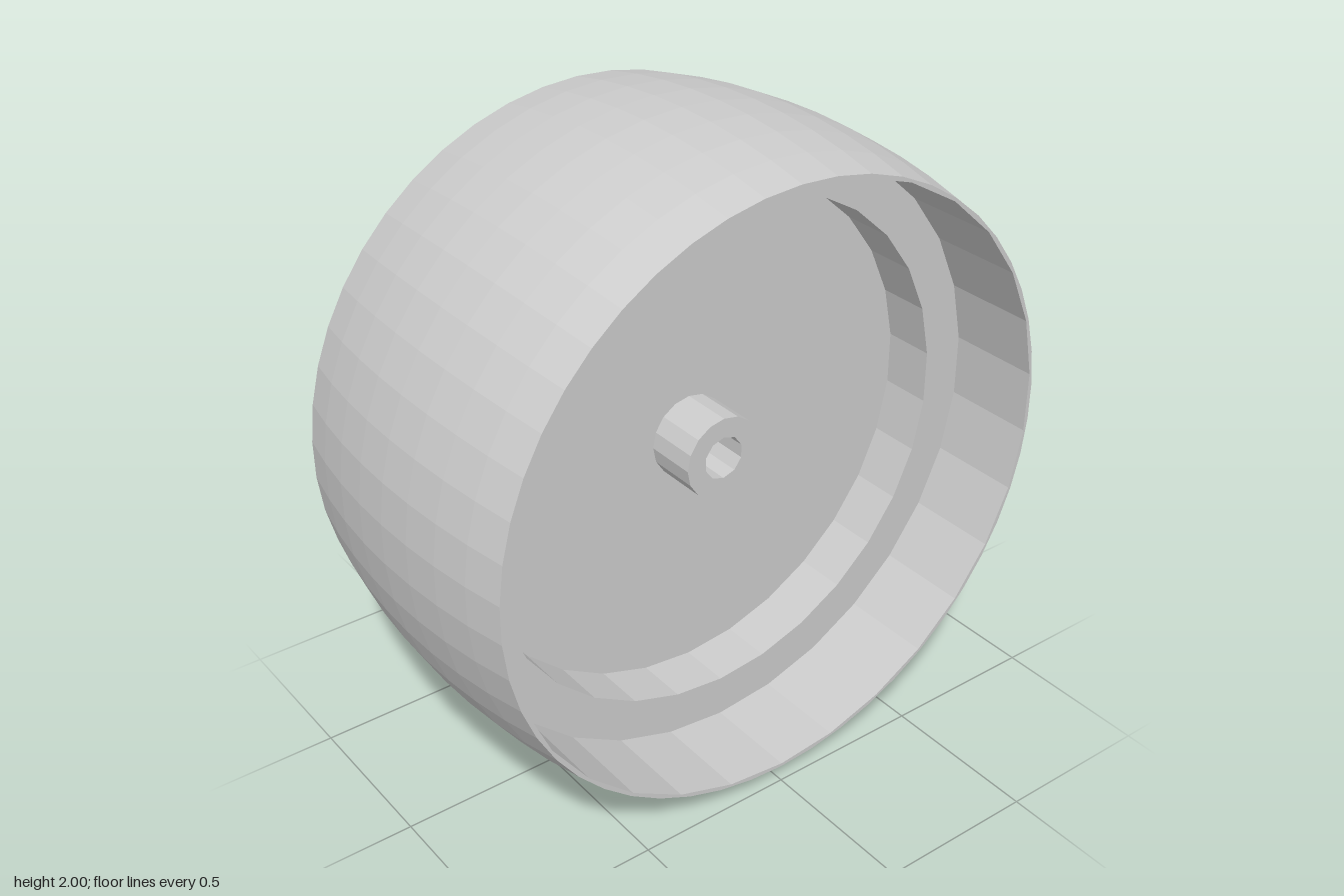
import * as THREE from 'three';

const material = new THREE.MeshStandardMaterial({ color: 0xcccccc, flatShading: true });

// Regular polygon points with a corner at the bottom
function polygon(radius, sides) {
  return Array.from({ length: sides }, (_, i) => {
    const a = (i / sides) * Math.PI * 2 - Math.PI / 2;
    return new THREE.Vector2(Math.cos(a) * radius, Math.sin(a) * radius);
  });
}

// Flat-faced ring centred on z = 0
function ring(name, outerR, outerSides, innerR, innerSides, depth) {
  const shape = new THREE.Shape(polygon(outerR, outerSides));
  shape.holes.push(new THREE.Path(polygon(innerR, innerSides)));
  const geometry = new THREE.ExtrudeGeometry(shape, { depth, bevelEnabled: false });
  geometry.translate(0, 0, -depth / 2);
  const mesh = new THREE.Mesh(geometry, material);
  mesh.name = name;
  return mesh;
}

export function createModel() {
  const wheel = new THREE.Group();
  wheel.name = 'wheel';
  const rimR = 0.945, halfWidth = 0.5, sides = 50, strips = 8;

  // Crowned tread surface, an elliptical arc across the width
  const profile = [];
  for (let i = 0; i <= strips; i++) {
    const t = (i / strips) * 2 - 1;
    profile.push(new THREE.Vector2(Math.sqrt(1 - (1 - rimR * rimR) * t * t), t * halfWidth));
  }
  const treadGeometry = new THREE.LatheGeometry(profile, sides);
  treadGeometry.rotateX(Math.PI / 2);
  const tread = new THREE.Mesh(treadGeometry, material);
  tread.name = 'tread';

  wheel.add(
    tread,
    ring('rimWall', rimR, sides, 0.935, 30, halfWidth * 2), // thin rim edges and inner wall
    ring('innerLedge', 0.937, 30, 0.8, 30, 0.4),            // stepped ring inside the rim
    ring('webDisc', 0.81, 30, 0.068, 10, 0.07),             // central plate
    ring('hub', 0.13, 16, 0.068, 10, 0.4)                   // bored axle hub
  );
  wheel.position.y = 1;

  const model = new THREE.Group();
  model.add(wheel);
  return model;
}
